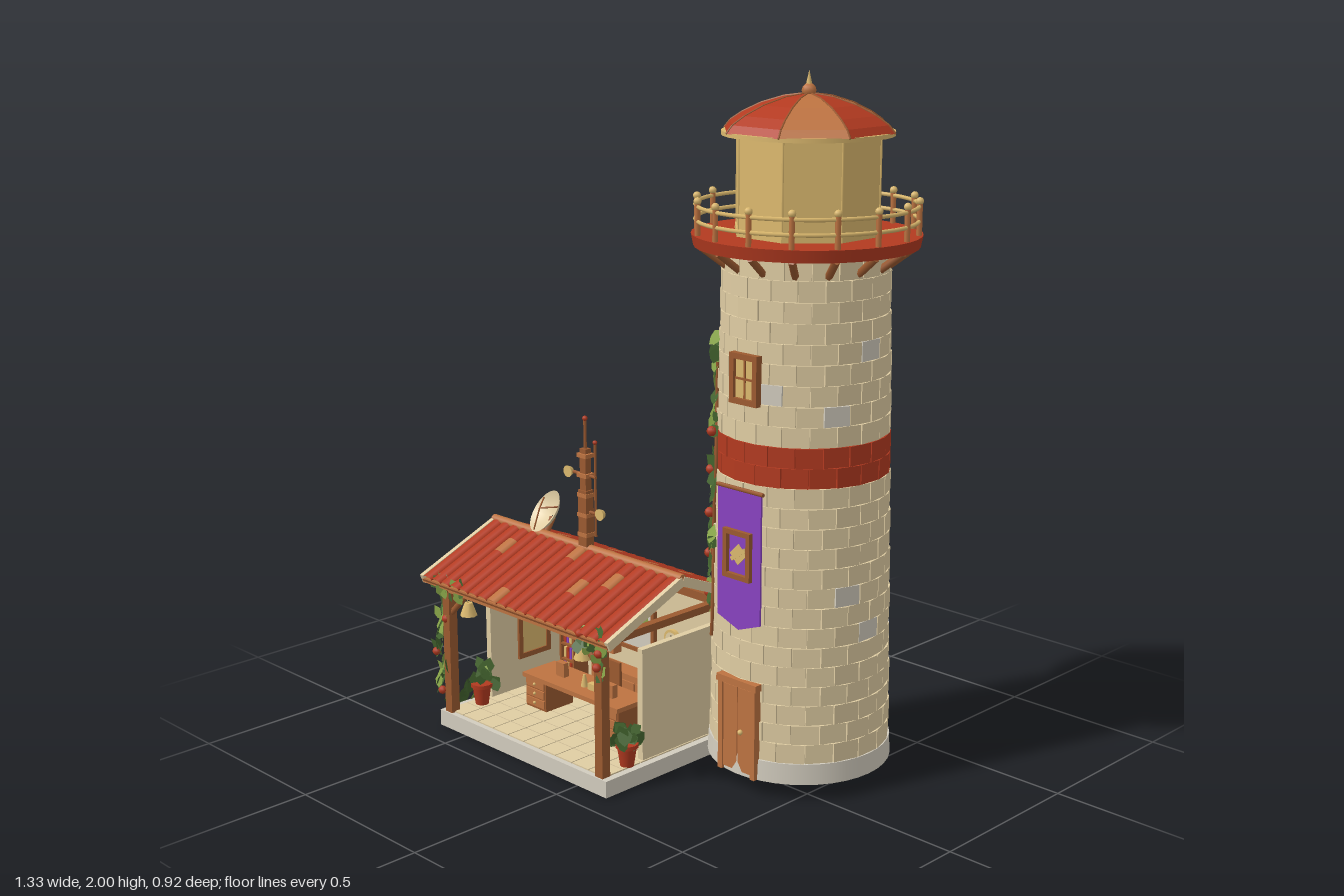
import * as THREE from 'three';
import { mergeGeometries } from 'three/addons/utils/BufferGeometryUtils.js';

const mat = (name, color, double) => {
  const m = new THREE.MeshStandardMaterial({ color });
  m.name = name;
  if (double) m.side = THREE.DoubleSide;
  return m;
};
const V = (x, y, z) => new THREE.Vector3(x, y, z);
const flat = g => { const n = g.toNonIndexed(); n.computeVertexNormals(); return n; };
const box = (w, h, d, x, y, z, rx = 0, ry = 0, rz = 0) =>
  new THREE.BoxGeometry(w, h, d).rotateX(rx).rotateY(ry).rotateZ(rz).translate(x, y, z);
const cyl = (rt, rb, h, x, y, z, n = 12) => new THREE.CylinderGeometry(rt, rb, h, n).translate(x, y, z);
const ball = (r, x, y, z) => new THREE.SphereGeometry(r, 8, 6).translate(x, y, z);
// straight bar between two points
const rod = (a, b, r, n = 6) => {
  const d = b.clone().sub(a);
  const q = new THREE.Quaternion().setFromUnitVectors(V(0, 1, 0), d.clone().normalize());
  return new THREE.CylinderGeometry(r, r, d.length(), n).applyQuaternion(q).translate(...a.clone().add(b).multiplyScalar(0.5).toArray());
};
// rectangular frame of four bars facing +z
const frame = (w, h, t, d, x, y, z) => [
  box(t, h, d, x - w / 2 + t / 2, y, z), box(t, h, d, x + w / 2 - t / 2, y, z),
  box(w, t, d, x, y + h / 2 - t / 2, z), box(w, t, d, x, y - h / 2 + t / 2, z)];

export function createModel() {
  const root = new THREE.Group();
  root.name = 'lighthouseWithShed';
  let seed = 7;
  const rnd = () => (seed = (seed * 16807) % 2147483647) / 2147483647;
  const stone = mat('stone', 0xd2ccbe), cream = mat('cream', 0xe0cda3, true), red = mat('redTile', 0xb33a20, true),
    orange = mat('terracotta', 0xbd7341, true), wood = mat('wood', 0x9c5a30), gold = mat('goldGlass', 0xdcb96e),
    purple = mat('purple', 0x8842c0), green = mat('darkLeaf', 0x44652f, true), lime = mat('lightLeaf', 0x86a347, true),
    dark = mat('darkMetal', 0x55524a);
  const part = (name, material, geos) => {
    const mesh = new THREE.Mesh(mergeGeometries([].concat(geos).map(g => g.index ? g.toNonIndexed() : g)), material);
    mesh.name = name;
    root.add(mesh);
  };

  // ---- Tower ----
  const TX = 0.34, TZ = -0.143, H = 0.0565;
  const R = y => 0.255 - (y - 0.11) * 0.019;
  const at = (r, a, y) => V(TX + r * Math.sin(a), y, TZ + r * Math.cos(a));
  part('towerFoot', stone, cyl(0.262, 0.265, 0.06, TX, 0.08, TZ, 40));
  part('towerCore', cream, cyl(R(1.53) - 0.005, R(0.1) - 0.005, 1.43, TX, 0.815, TZ, 40));
  const bricks = { plain: [], pale: [], band: [] };
  for (let row = 0; row < 25; row++) {
    const y = 0.11 + (row + 0.5) * H, r = R(y);
    for (let i = 0; i < 20; i++) {
      const a = (i + (row % 2) / 2) * Math.PI / 10;
      const p = at(r - 0.012 + rnd() * 0.003, a, y);
      const g = box(2 * Math.PI * r / 20 * 0.98, H * 0.98, 0.026, p.x, p.y, p.z, 0, a);
      (row === 14 || row === 15 ? bricks.band : rnd() < 0.02 ? bricks.pale : bricks.plain).push(g);
    }
  }
  part('towerBricks', cream, bricks.plain);
  part('towerPaleBricks', stone, bricks.pale);
  part('towerRedBand', red, bricks.band);

  // ---- Gallery ----
  part('galleryDeck', red, cyl(0.317, 0.31, 0.034, TX, 1.545, TZ, 40));
  const brackets = [], posts = [], knobs = [];
  for (let i = 0; i < 16; i++) {
    const a = (i + 0.5) * Math.PI / 8;
    brackets.push(rod(at(0.222, a, 1.475), at(0.295, a, 1.53), 0.011));
    posts.push(rod(at(0.305, a, 1.56), at(0.305, a, 1.65), 0.008));
    knobs.push(ball(0.011, ...at(0.305, a, 1.655).toArray()));
  }
  part('galleryBrackets', wood, brackets);
  part('railingPosts', orange, posts);
  part('railingKnobs', gold, knobs);
  part('railingRails', gold, [1.6, 1.64].map(y =>
    new THREE.TorusGeometry(0.305, 0.006, 5, 40).rotateX(Math.PI / 2).translate(TX, y, TZ)));

  // ---- Lantern room ----
  const oct = (r, h, y) => flat(new THREE.CylinderGeometry(r, r, h, 8).rotateY(Math.PI / 8).translate(TX, y, TZ));
  part('lanternGlass', gold, oct(0.205, 0.28, 1.70));
  part('lanternSill', gold, oct(0.21, 0.02, 1.57));
  part('lanternSoffit', gold, cyl(0.236, 0.236, 0.012, TX, 1.834, TZ, 32));
  const mullions = [], ribs = [];
  const dome = [[0.243, 1.838], [0.225, 1.86], [0.19, 1.883], [0.135, 1.909], [0.07, 1.929], [0.005, 1.938]];
  const domePts = dome.map(p => new THREE.Vector2(...p));
  const panels = { r: [], o: [] };
  for (let k = 0; k < 8; k++) {
    const a = (k - 0.5) * Math.PI / 4;
    mullions.push(rod(at(0.205, a, 1.56), at(0.205, a, 1.84), 0.003));
    for (let j = 0; j < 5; j++) ribs.push(rod(at(dome[j][0], a, dome[j][1]), at(dome[j + 1][0], a, dome[j + 1][1]), 0.003, 5));
    ([1, 3, 6].includes(k) ? panels.o : panels.r).push(new THREE.LatheGeometry(domePts, 1, a, Math.PI / 4).translate(TX, 0, TZ));
  }
  part('lanternMullions', gold, mullions);
  part('domeRedPanels', red, panels.r.map(flat));
  part('domeOrangePanels', orange, panels.o.map(flat));
  part('domeRibs', wood, ribs);
  part('finialBall', orange, ball(0.02, TX, 1.945, TZ));
  part('finialSpike', gold, new THREE.ConeGeometry(0.01, 0.045, 8).translate(TX, 1.9775, TZ));

  // ---- Tower door, window and banner ----
  part('door', orange, [-1, 1].map(s => box(0.052, 0.25, 0.03, TX + s * 0.0275, 0.185, 0.105)));
  part('doorFrame', orange, [box(0.016, 0.27, 0.05, TX - 0.062, 0.185, 0.1), box(0.016, 0.27, 0.05, TX + 0.062, 0.185, 0.1),
    box(0.15, 0.02, 0.055, TX, 0.325, 0.1)]);
  part('doorSeam', wood, box(0.004, 0.25, 0.028, TX, 0.185, 0.105));
  part('doorKnob', gold, ball(0.008, TX + 0.015, 0.18, 0.124));
  part('towerWindowGlass', gold, box(0.075, 0.115, 0.02, TX, 1.19, 0.09));
  part('towerWindowFrame', wood, [...frame(0.1, 0.14, 0.016, 0.04, TX, 1.19, 0.09), box(0.006, 0.12, 0.026, TX, 1.19, 0.09), box(0.08, 0.006, 0.026, TX, 1.19, 0.09)]);
  const cloth = new THREE.Shape([[-0.08, 0.88], [-0.08, 0.51], [0, 0.48], [0.08, 0.51], [0.08, 0.88]].map(p => new THREE.Vector2(...p)));
  part('banner', purple, new THREE.ExtrudeGeometry(cloth, { depth: 0.006, bevelEnabled: false }).translate(TX, 0, 0.113));
  part('bannerPole', wood, rod(V(TX - 0.085, 0.885, 0.115), V(TX + 0.085, 0.885, 0.115), 0.006));
  part('bannerFrame', wood, frame(0.1, 0.14, 0.014, 0.02, TX, 0.7, 0.122));
  part('bannerEmblem', gold, [box(0.042, 0.042, 0.006, TX, 0.7, 0.121, 0, 0, Math.PI / 4), box(0.06, 0.012, 0.006, TX, 0.7, 0.122, 0, 0, 0.6)]);

  // ---- Shed floor and walls ----
  part('shedSlab', stone, [box(0.73, 0.04, 0.505, -0.25, 0.03, 0.1625),
    ...frame(0.74, 0.515, 0.02, 0.05, 0, 0, 0).map(g => g.rotateX(Math.PI / 2).translate(-0.25, 0.025, 0.1625))]);
  const tiles = [];
  for (let i = 0; i < 10; i++) for (let j = 0; j < 7; j++) tiles.push(box(0.067, 0.004, 0.067, -0.565 + i * 0.07, 0.052, -0.05 + j * 0.07));
  part('floorTiles', cream, tiles);
  part('shedWalls', cream, [box(0.68, 0.39, 0.02, -0.25, 0.245, -0.083), box(0.02, 0.34, 0.335, -0.585, 0.22, 0.085), box(0.02, 0.34, 0.335, 0.085, 0.22, 0.085)]);
  part('shedWindowGlass', gold, box(0.026, 0.13, 0.1, -0.585, 0.23, 0.08));
  part('shedWindowFrame', wood, frame(0.13, 0.16, 0.016, 0.036, 0, 0, 0).map(g => g.rotateY(Math.PI / 2).translate(-0.585, 0.23, 0.08)));

  // ---- Shed timber ----
  const beams = [box(0.8, 0.025, 0.03, -0.25, 0.45, -0.08)];
  for (const x of [-0.585, 0.085]) {
    const s = x < -0.25 ? 1 : -1;
    beams.push(box(0.03, 0.39, 0.03, x, 0.245, 0.4), box(0.034, 0.39, 0.03, x, 0.245, -0.076), box(0.025, 0.022, 0.52, x, 0.448, 0.16));
    beams.push(rod(V(x, 0.36, 0.4), V(x + s * 0.08, 0.44, 0.4), 0.009));
  }
  part('shedTimber', wood, beams);
  part('eaveBeam', orange, [box(0.8, 0.025, 0.03, -0.25, 0.45, 0.4), box(0.81, 0.014, 0.012, -0.245, 0.468, 0.442)]);

  // ---- Shed roof: barrel tiles on two slopes ----
  const A = 0.392, patches = { '1': ['3,1', '7,4', '9,0', '12,2', '14,1'], '-1': ['3,2', '7,3', '9,1', '12,2', '14,3'] };
  const roofRed = [], roofOrange = [], deck = [], trim = [];
  for (const s of [1, -1]) {
    const L = s > 0 ? 0.312 : 0.306;
    const on = (g, d, x, lift) => g.rotateX(s * A).translate(x, 0.585 - d * Math.sin(A) + lift, 0.16 + s * d * Math.cos(A));
    deck.push(on(new THREE.BoxGeometry(0.81, 0.012, L), L / 2, -0.245, 0));
    for (const x of [-0.65, 0.16]) trim.push(on(new THREE.BoxGeometry(0.014, 0.028, L), L / 2, x, 0.004));
    for (let i = 0; i < 19; i++) for (let j = 0; j < 5; j++) {
      const g = new THREE.CylinderGeometry(0.0214, 0.0214, L / 5, 6, 1, true, Math.PI / 2, Math.PI).rotateX(Math.PI / 2).scale(1, 0.55, 1);
      on(g, (j + 0.5) * L / 5, -0.629 + i * 0.0427, 0.008);
      (patches[s].includes(i + ',' + j) ? roofOrange : roofRed).push(g);
    }
  }
  part('roofDeck', wood, deck);
  part('roofTrim', cream, trim);
  part('roofTiles', red, roofRed);
  part('roofPatchTiles', orange, roofOrange);
  part('roofRidge', orange, rod(V(-0.655, 0.596, 0.16), V(0.165, 0.596, 0.16), 0.014, 10));

  // ---- Roof dish and antenna ----
  const bowl = [[0.002, 0], [0.03, 0.005], [0.053, 0.015], [0.07, 0.03]].map(p => new THREE.Vector2(...p));
  const aim = g => g.rotateX(0.95).rotateY(-0.35).translate(-0.43, 0.645, 0.12);
  part('dish', cream, aim(new THREE.LatheGeometry(bowl, 20)));
  part('dishFeed', wood, [0, 1, 2].map(i => aim(rod(V(0.065 * Math.sin(i * 2.1), 0.028, 0.065 * Math.cos(i * 2.1)), V(0, 0.05, 0), 0.0025))));
  part('dishStand', wood, rod(V(-0.43, 0.59, 0.15), V(-0.43, 0.64, 0.118), 0.01));
  const MX = -0.235;
  part('antennaMast', wood, [box(0.035, 0.17, 0.03, MX, 0.69, 0.16), box(0.025, 0.14, 0.022, MX, 0.83, 0.16),
    rod(V(MX, 0.9, 0.16), V(MX, 0.99, 0.16), 0.005), rod(V(MX + 0.042, 0.64, 0.16), V(MX + 0.042, 0.92, 0.16), 0.004),
    rod(V(MX - 0.06, 0.82, 0.16), V(MX + 0.045, 0.82, 0.16), 0.005), rod(V(MX, 0.71, 0.16), V(MX + 0.07, 0.71, 0.16), 0.005)]);
  part('antennaBands', orange, [0.64, 0.7, 0.76, 0.82, 0.88].map(y => box(0.04, 0.012, 0.034, MX, y, 0.16)));
  part('antennaTips', red, [ball(0.008, MX, 0.99, 0.16), ball(0.007, MX + 0.042, 0.925, 0.16)]);
  part('antennaDiscs', gold, [[MX - 0.065, 0.82], [MX + 0.07, 0.715]].map(([x, y]) => new THREE.CylinderGeometry(0.018, 0.012, 0.015, 10).rotateX(Math.PI / 2).translate(x, y, 0.165)));

  // ---- Shed interior ----
  const furn = [], desk = [box(0.42, 0.014, 0.13, -0.25, 0.155, 0.16), box(0.3, 0.1, 0.06, -0.25, 0.1, -0.035)], drawers = [], handles = [];
  for (const x of [-0.41, -0.09]) {
    furn.push(box(0.09, 0.1, 0.11, x, 0.1, 0.16));
    for (const y of [0.075, 0.105, 0.135]) { drawers.push(box(0.08, 0.024, 0.006, x, y, 0.217)); handles.push(ball(0.005, x, y, 0.222)); }
  }
  for (let i = 0; i < 3; i++) {
    drawers.push(box(0.09, 0.06, 0.006, -0.35 + i * 0.1, 0.1, -0.003));
    handles.push(ball(0.005, -0.35 + i * 0.1, 0.1, 0.002));
  }
  const books = { p: [], g: [], r: [] };
  for (const x of [-0.52, 0.025]) {
    furn.push(...frame(0.068, 0.27, 0.008, 0.06, x, 0.19, -0.04));
    for (let k = 0; k < 5; k++) {
      furn.push(box(0.068, 0.006, 0.06, x, 0.065 + k * 0.052, -0.04));
      for (let b = 0; b < 4; b++) books['pgr'[(k + b) % 3]].push(box(0.01, 0.032 + rnd() * 0.008, 0.04, x - 0.02 + b * 0.013, 0.088 + k * 0.05, -0.04));
    }
  }
  furn.push(box(0.06, 0.01, 0.06, -0.25, 0.12, 0.07), box(0.06, 0.08, 0.01, -0.25, 0.165, 0.04), box(0.015, 0.06, 0.015, -0.25, 0.08, 0.07));
  furn.push(...frame(0.21, 0.145, 0.012, 0.016, -0.28, 0.28, -0.064));
  part('furniture', wood, furn);
  part('deskAndSideboard', orange, desk);
  part('drawerFronts', orange, drawers);
  part('drawerHandles', gold, handles);
  part('purpleBooks', purple, books.p);
  part('goldBooks', gold, books.g);
  part('redBooks', red, books.r);
  part('mapSheet', stone, box(0.19, 0.125, 0.006, -0.28, 0.28, -0.066));
  part('mapIslands', lime, [[-0.3, 0.275, 0.038], [-0.24, 0.3, 0.026], [-0.22, 0.315, 0.018]].map(([x, y, r]) => new THREE.CircleGeometry(r, 14).translate(x, y, -0.062)));
  part('clock', gold, new THREE.CylinderGeometry(0.032, 0.032, 0.012, 16).rotateX(Math.PI / 2).translate(-0.1, 0.285, -0.064));
  part('clockFace', cream, new THREE.CircleGeometry(0.024, 16).translate(-0.1, 0.285, -0.057));
  part('clockHands', dark, [box(0.028, 0.005, 0.003, -0.1, 0.285, -0.056), box(0.005, 0.03, 0.003, -0.1, 0.285, -0.056)]);
  part('deskLamp', gold, [cyl(0.004, 0.012, 0.04, -0.24, 0.18, 0.17, 8), box(0.03, 0.02, 0.02, -0.2, 0.172, 0.17)]);
  part('deskItems', orange, [box(0.035, 0.045, 0.02, -0.35, 0.184, 0.16), box(0.045, 0.04, 0.02, -0.13, 0.182, 0.17)]);
  part('hangingLamps', gold, [-0.52, -0.015].flatMap(x => [cyl(0.012, 0.026, 0.04, x, 0.39, 0.38, 8), rod(V(x, 0.4, 0.38), V(x, 0.445, 0.39), 0.002)]));

  // ---- Pots, ivy and flowers ----
  const leafShape = new THREE.Shape([[0, -0.5], [0.4, -0.1], [0.3, 0.25], [0, 0.5], [-0.3, 0.25], [-0.4, -0.1]].map(p => new THREE.Vector2(...p)));
  const leaves = [[], []], flowers = [];
  const leaf = (p, size, yaw, pale) => leaves[rnd() < pale ? 1 : 0].push(new THREE.ShapeGeometry(leafShape).scale(size, size, size)
    .rotateZ(rnd() * 2 - 1 + Math.PI).rotateX(rnd() * 0.8 - 0.5).rotateY(yaw + rnd() * 1.2 - 0.6).translate(p.x, p.y, p.z));
  // fills a block of space with leaves facing yaw
  const ivy = (n, c, s, size, yaw, bloom, pale) => {
    for (let i = 0; i < n; i++) {
      const p = V(c[0] + (rnd() - 0.5) * s[0], c[1] + ((i + 0.5) / n - 0.5) * s[1], c[2] + (rnd() - 0.5) * s[2]);
      leaf(p, size * (0.75 + rnd() * 0.5), yaw, pale);
      if (bloom && i % bloom === 2) flowers.push(ball(0.013, p.x, p.y, p.z + 0.012));
    }
  };
  ivy(36, [-0.62, 0.28, 0.4], [0.06, 0.38, 0.02], 0.058, -0.6, 11, 0.4);
  ivy(14, [-0.54, 0.465, 0.435], [0.14, 0.06, 0.02], 0.04, 0, 0, 0.4);
  ivy(14, [0.08, 0.46, 0.435], [0.14, 0.07, 0.02], 0.04, 0, 8, 0.4);
  ivy(4, [0.1, 0.38, 0.42], [0.03, 0.08, 0.02], 0.036, 0, 3, 0.4);
  ivy(34, [-0.615, 0.08, 0.2], [0.025, 0.06, 0.3], 0.045, -1.4, 0, 0.05);
  for (let i = 0; i < 72; i++) {
    const y = 0.46 + i * 0.0114, a = -0.92 + 0.1 * Math.sin(i * 0.4) + (rnd() - 0.5) * 0.42;
    leaf(at(R(y) + 0.014, a, y), 0.04 + rnd() * 0.022, a * 0.6, 0.45);
    if (i % 11 === 4 && y < 1.1) flowers.push(ball(0.015, ...at(R(y) + 0.02, a, y).toArray()));
  }
  for (const a0 of [-0.98, -0.75]) {
    const stem = [];
    for (let i = 0; i <= 8; i++) stem.push(at(R(0.4 + i * 0.1) + 0.006, a0 + 0.08 * Math.sin(i * 1.5), 0.4 + i * 0.1));
    part('ivyStem', wood, new THREE.TubeGeometry(new THREE.CatmullRomCurve3(stem), 24, 0.006, 5));
  }
  for (const x of [-0.56, 0.085]) ivy(16, [x, 0.145, 0.305], [0.07, 0.06, 0.08], 0.045, 0.7, 0, 0.1);
  part('plantPots', red, [-0.56, 0.085].flatMap(x => [cyl(0.03, 0.02, 0.065, x, 0.085, 0.305), cyl(0.034, 0.034, 0.012, x, 0.116, 0.305)]));
  part('darkLeaves', green, leaves[0]);
  part('lightLeaves', lime, leaves[1]);
  part('flowers', red, flowers);
  return root;
}
